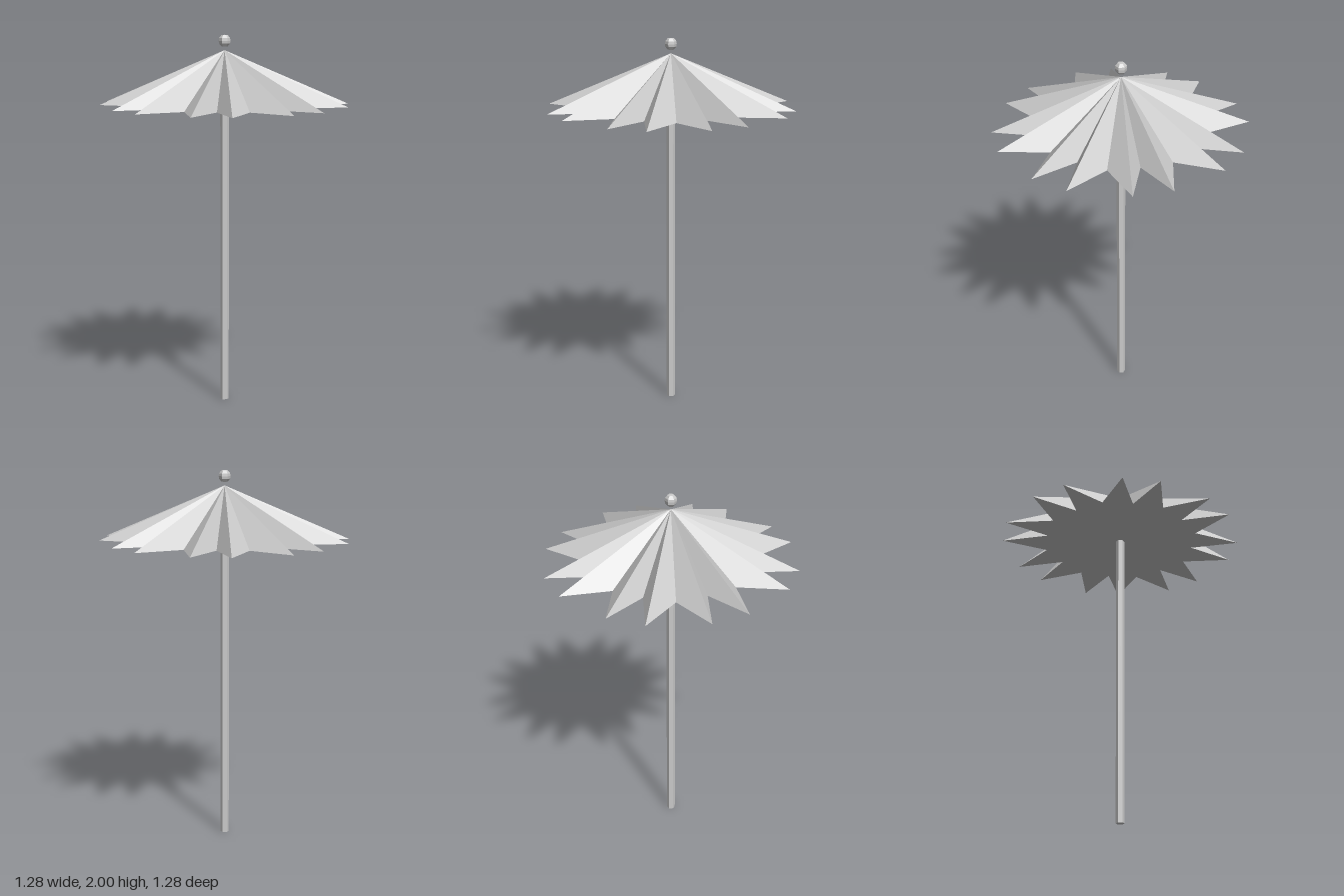
import * as THREE from 'three';

// Pleated canopy: star rim joined to an apex, closed by a flat underside
function canopyGeometry(rimY, apexY) {
  // One quarter of the rim, alternating valley and tip (x, z)
  const quarter = [
    [0.431, 0], [0.642, 0.157], [0.377, 0.157], [0.565, 0.342],
    [0.303, 0.303], [0.342, 0.565], [0.157, 0.377], [0.157, 0.642],
  ];
  const rim = [];
  for (let q = 0; q < 4; q++) {
    for (const [x, z] of quarter) {
      const p = new THREE.Vector3(x, rimY, z);
      rim.push(p.applyAxisAngle(new THREE.Vector3(0, 1, 0), -q * Math.PI / 2));
    }
  }
  const apex = new THREE.Vector3(0, apexY, 0);
  const centre = new THREE.Vector3(0, rimY, 0);
  const points = [];
  rim.forEach((a, i) => {
    const b = rim[(i + 1) % rim.length];
    points.push(apex, b, a, centre, a, b);
  });
  const geometry = new THREE.BufferGeometry().setFromPoints(points);
  geometry.computeVertexNormals();
  return geometry;
}

export function createModel() {
  const group = new THREE.Group();
  const grey = new THREE.MeshStandardMaterial({ color: 0xcccccc, flatShading: true });
  grey.name = 'light grey';

  const add = (name, geometry, y = 0) => {
    const mesh = new THREE.Mesh(geometry, grey);
    mesh.name = name;
    mesh.position.y = y;
    group.add(mesh);
  };

  // Six-sided pole from the ground to the canopy
  add('pole', new THREE.CylinderGeometry(0.023, 0.023, 1.64, 6), 0.82);

  add('canopy', canopyGeometry(1.635, 1.92));

  // Faceted ball floating just above the apex
  const ball = [[0, -0.031], [0.017, -0.029], [0.029, -0.014], [0.031, 0],
    [0.029, 0.014], [0.017, 0.029], [0, 0.031]].map(([x, y]) => new THREE.Vector2(x, y));
  add('finialBall', new THREE.LatheGeometry(ball, 6), 1.969);

  return group;
}
